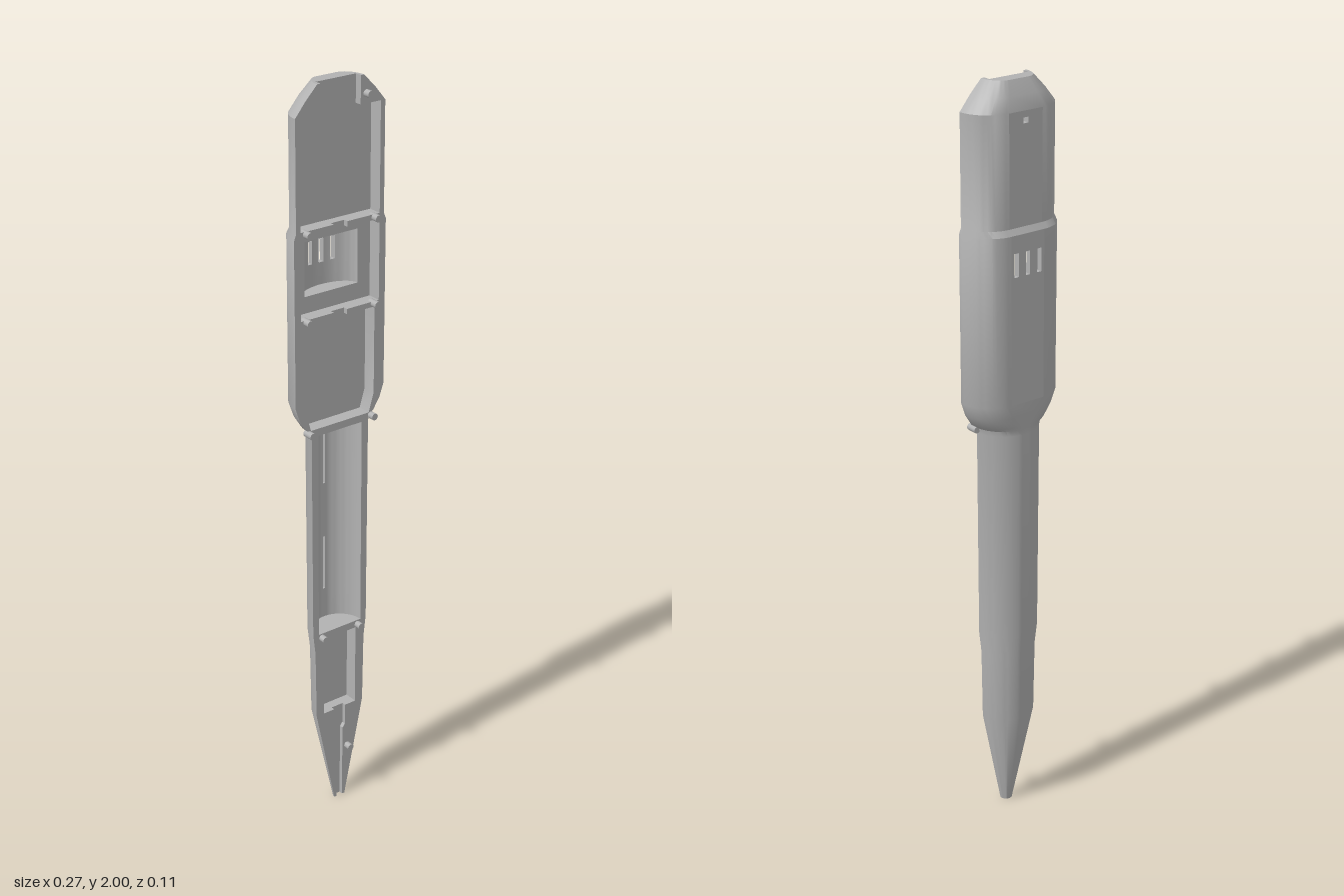
import * as THREE from 'three';
import { toCreasedNormals } from 'three/addons/utils/BufferGeometryUtils.js';

const F = 0.037;      // flat mating plane
const FLOOR = 0;      // floor of the flat compartments
const NOTCH = 0.018;  // floor of the top notch
const GROOVE = 0.026; // floor of the tip groove

// y, half width, back z, half width of the flat back
const SECTIONS = [
  [0, 0.017, 0.018, 0], [0.285, 0.076, -0.037, 0], [0.48, 0.079, -0.04, 0],
  [0.54, 0.086, -0.045, 0], [1.11, 0.088, -0.048, 0], [1.125, 0.092, -0.048, 0.004],
  [1.135, 0.105, -0.049, 0.015], [1.165, 0.124, -0.052, 0.035], [1.2, 0.136, -0.055, 0.05],
  [1.635, 0.137, -0.055, 0.05], [1.65, 0.131, -0.046, 0.05], [1.93, 0.131, -0.046, 0.05],
  [1.965, 0.102, -0.036, 0.04], [2, 0.068, -0.018, 0.03],
];
const ARC = 14;

export function createModel() {
  const model = new THREE.Group();
  const grey = new THREE.MeshStandardMaterial({ color: 0xb2b2b2, side: THREE.DoubleSide });
  grey.name = 'grey plastic';

  const add = (name, geometry) => {
    const mesh = new THREE.Mesh(geometry, grey);
    mesh.name = name;
    model.add(mesh);
    return mesh;
  };

  // Surface over two parameter lists; skip(i, j) leaves a cell open
  const grid = (us, vs, point, skip = () => false) => {
    const pos = [], index = [], n = us.length;
    vs.forEach(v => us.forEach(u => pos.push(...point(u, v))));
    for (let j = 0; j < vs.length - 1; j++) for (let i = 0; i < n - 1; i++) {
      if (skip(i, j)) continue;
      const a = j * n + i;
      index.push(a, a + 1, a + n, a + 1, a + n + 1, a + n);
    }
    const g = new THREE.BufferGeometry();
    g.setAttribute('position', new THREE.Float32BufferAttribute(pos, 3));
    g.setIndex(index);
    return toCreasedNormals(g, 0.5);
  };
  const walls = (name, path, z0, z1) =>
    add(name, grid(path, [z0, z1], (p, z) => [p[0], p[1], z]));
  const rect = (x0, x1, y0, y1) => [[x0, y0], [x1, y0], [x1, y1], [x0, y1], [x0, y0]];
  const toShape = pts => new THREE.Shape(pts.map(p => new THREE.Vector2(...p)));
  const flat = (name, pts, z, holes = []) => {
    const s = toShape(pts);
    s.holes = holes.map(h => new THREE.Path(h.map(p => new THREE.Vector2(...p))));
    return add(name, new THREE.ShapeGeometry(s).translate(0, 0, z));
  };
  const mirror = pts => pts.map(([x, y]) => [-x, y]).reverse();

  // Rounded outer shell
  const section = ([, w, zb, f]) => {
    const right = [];
    for (let i = 0; i <= ARC; i++) {
      const a = (i / ARC) * Math.PI / 2;
      right.push([f + (w - f) * Math.cos(a), F - (F - zb) * Math.sin(a)]);
    }
    return [...right, ...mirror(right)];
  };
  const rows = SECTIONS.map(section);
  const columns = rows[0].map((_, i) => i);
  const bands = [8, 10]; // sections whose flat back is a pierced panel
  add('outerShell', grid(columns, SECTIONS.map((_, j) => j),
    (i, j) => [rows[j][i][0], SECTIONS[j][0], rows[j][i][1]],
    (i, j) => i === ARC && bands.includes(j)));

  // Back panels with three vents and a small round-hole position
  const ventX = [-0.05, -0.041, -0.028, -0.0065, 0.0065, 0.028, 0.041, 0.05];
  const isVent = (i, j) => j === 1 && i % 2 === 1;
  add('ventPanel', grid(ventX, [1.2, 1.53, 1.59, 1.635], (x, y) => [x, y, -0.055], isVent));
  add('upperBackPanel', grid([-0.05, -0.007, 0.007, 0.05], [1.65, 1.9, 1.914, 1.93],
    (x, y) => [x, y, -0.046], (i, j) => i === 1 && j === 1));
  walls('backHole', rect(-0.007, 0.007, 1.9, 1.914), -0.046, FLOOR);

  // Compartment outlines, right half from bottom to top
  const upper = [[0.09, 1.13], [0.105, 1.18], [0.105, 1.415], [0.118, 1.415], [0.118, 1.93]];
  const lower = [[0.052, 0.285], [0.052, 0.515]];
  const upperLoop = [...upper, ...mirror(upper)];
  const lowerLoop = [...lower, ...mirror(lower)];
  const battery = rect(-0.068, 0.068, 0.535, 1.11);
  const pocket = rect(-0.08, 0.08, 1.47, 1.61);

  // Front rim: the outline runs in through the top notch and the tip groove
  const edge = SECTIONS.map(s => [s[1], s[0]]);
  const grooveSide = [[0.018, 0.285], [0.018, 0.225], [0.01, 0.215], [0.009, 0]];
  const rightRim = [...lower.slice().reverse(), ...grooveSide, ...edge];
  const topSide = [[0.058, 2], [0.058, 1.93], ...upper.slice().reverse()];
  const half = (a, b) => [...a, ...b];
  // Right and left halves meet along the solid bridges on the centre line
  const rightHalf = half([[0, 0.515], ...rightRim, ...topSide],
    [[0, 1.13], [0, 1.11], [0.068, 1.11], [0.068, 0.535], [0, 0.535]]);
  flat('frontRimLeft', rightHalf, F);
  flat('frontRimRight', mirror(rightHalf), F);

  // Compartment walls and floors
  flat('upperFloor', upperLoop, FLOOR, [pocket]);
  flat('lowerFloor', lowerLoop, FLOOR);
  const upperWall = [[0.058, 1.93], ...upper.slice().reverse()];
  walls('upperWalls', [...upperWall, ...mirror(upperWall)], FLOOR, F);
  walls('notchStep', [[-0.058, 1.93], [0.058, 1.93]], FLOOR, NOTCH);
  const lowerWall = [[0.018, 0.285], ...lower];
  walls('lowerWalls', [...lowerWall, ...mirror(lowerWall)], FLOOR, F);
  walls('grooveStep', [[-0.018, 0.285], [0.018, 0.285]], FLOOR, GROOVE);

  // Top notch and tip groove
  flat('notchFloor', rect(-0.058, 0.058, 1.93, 2), NOTCH);
  flat('grooveFloor', [...grooveSide, ...mirror(grooveSide)], GROOVE);
  for (const s of [-1, 1]) {
    walls('notchSide', [[s * 0.058, 1.93], [s * 0.058, 2]], NOTCH, F);
    walls('grooveSide', grooveSide.map(([x, y]) => [s * x, y]), GROOVE, F);
  }
  const endCap = (name, row, y, x, z) => add(name, new THREE.ShapeGeometry(
    toShape([...row, [-x, F], [-x, z], [x, z], [x, F]])).rotateX(Math.PI / 2).translate(0, y, 0));
  endCap('topEnd', rows[rows.length - 1], 2, 0.058, NOTCH);
  endCap('tipEnd', rows[0], 0, 0.009, GROOVE);

  // Round-bottomed pockets: curved floor, two end walls
  const trough = (name, xs, ys, top, curve, skip) => {
    add(name + 'Floor', grid(xs, ys, (x, y) => [x, y, curve(x)], skip));
    for (const y of [ys[0], ys[ys.length - 1]])
      add(name + 'End', grid(xs, [0, 1], (x, t) => [x, y, top + (curve(x) - top) * t]));
  };
  const arcXs = (r, n, inner) => {
    const side = [];
    for (let i = 0; i <= n; i++) {
      const x = r * Math.cos((i / n) * Math.PI / 2);
      if (x > inner[inner.length - 1] + 0.003) side.push(x);
    }
    const all = [...side, ...inner.slice().reverse()];
    return [...all.map(x => -x), ...all.slice().reverse()];
  };
  const bowl = (r, d, top) => x => top - d * Math.sqrt(Math.max(0, 1 - (x / r) ** 2));

  // Battery trough with two narrow grooves on the centre line
  const bx = arcXs(0.068, 14, [0.003]);
  const mid = bx.length / 2 - 1;
  trough('battery', bx, [0.535, 0.62, 0.775, 0.93, 1.085, 1.11], F, bowl(0.068, 0.068, F),
    (i, j) => i === mid && (j === 1 || j === 3));
  for (const y of [0.62, 0.93]) {
    walls('grooveWalls', rect(-0.003, 0.003, y, y + 0.155), -0.031, -0.043);
    flat('grooveBottom', rect(-0.003, 0.003, y, y + 0.155), -0.043);
  }

  // Vented pocket
  const px = arcXs(0.08, 12, [0.0065, 0.028, 0.041]);
  const first = px.findIndex(x => Math.abs(x + 0.041) < 1e-6);
  trough('pocket', px, [1.47, 1.53, 1.59, 1.61], FLOOR, bowl(0.08, 0.045, FLOOR),
    (i, j) => j === 1 && [0, 2, 4].includes(i - first));
  for (const x of [-0.0345, 0, 0.0345])
    walls('ventWalls', rect(x - 0.0065, x + 0.0065, 1.53, 1.59), -0.055, -0.04);

  // Dividers with a cable gap in the middle
  for (const y of [1.42, 1.645]) {
    for (const s of [-1, 1])
      add('divider', new THREE.BoxGeometry(0.098, 0.014, F)).position.set(s * 0.069, y, F / 2);
    add('dividerSill', new THREE.BoxGeometry(0.04, 0.014, 0.025)).position.set(0, y, 0.0125);
  }

  // Locating pegs
  const pegs = [[0.075, 1.955], [0.025, 0.155]];
  for (const [x, y] of [[0.102, 1.645], [0.102, 1.422], [0.096, 1.122], [0.058, 0.523]])
    pegs.push([x, y], [-x, y]);
  for (const [x, y] of pegs)
    add('peg', new THREE.CylinderGeometry(0.009, 0.009, 0.03, 20).rotateX(Math.PI / 2))
      .position.set(x, y, 0.04);

  return model;
}
